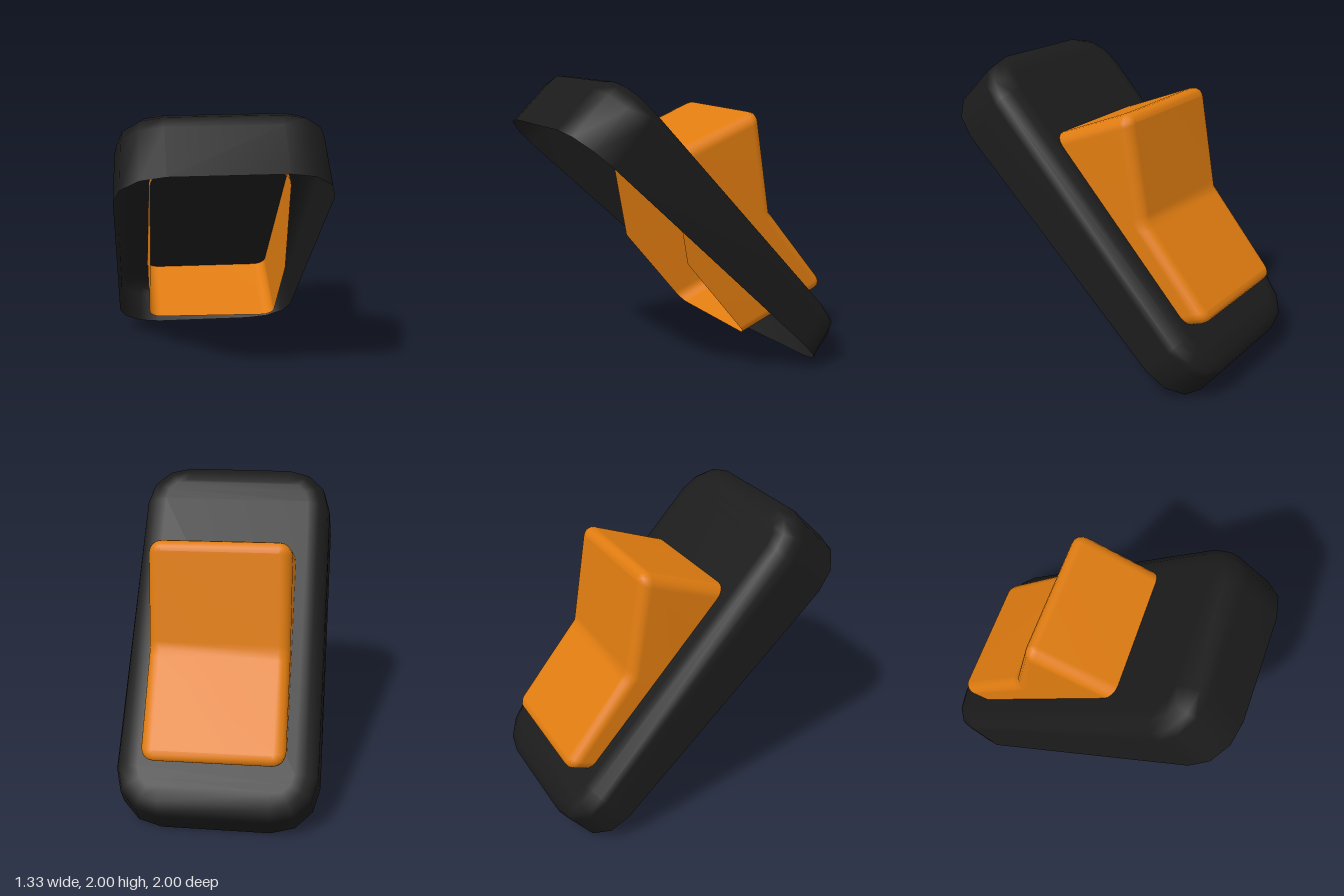
import * as THREE from 'three';

// Right half of a rounded rectangle, from +s down to -s, as [x, s] pairs.
// extra: additional s positions along the straight side.
function halfOutline(halfWidth, halfLength, radius, inset, segments, extra = []) {
  const r = radius - inset;
  const cx = halfWidth - radius, cs = halfLength - radius;
  const corner = [];
  for (let i = 0; i <= segments; i++) {
    const a = (Math.PI / 2) * (1 - i / segments);
    corner.push([cx + r * Math.cos(a), cs + r * Math.sin(a)]);
  }
  const side = extra.map((s) => [halfWidth - inset, s]);
  const lower = corner.map(([x, s]) => [x, -s]).reverse();
  return [...corner, ...side, ...lower];
}

// Open-bottomed shell: stacked mirrored outlines plus a cap on the last one.
// rings: [height, inset]; place maps (x, s, height) to a point in space.
function shell(rings, outline, place) {
  const positions = [], index = [];
  let n = 0;
  for (const [h, inset] of rings) {
    const half = outline(inset);
    const loop = [...half, ...half.map(([x, s]) => [-x, s]).reverse()];
    n = loop.length;
    for (const [x, s] of loop) positions.push(...place(x, s, h));
  }
  for (let k = 0; k < rings.length - 1; k++) {
    for (let i = 0; i < n; i++) {
      const j = (i + 1) % n;
      const a = k * n + i, b = k * n + j, c = b + n, d = a + n;
      index.push(a, b, c, a, c, d);
    }
  }
  const top = (rings.length - 1) * n;
  for (let i = 0; i < n / 2 - 1; i++) {
    const a = top + i, b = a + 1, c = top + n - 2 - i, d = c + 1;
    index.push(a, b, c, a, c, d);
  }
  const geometry = new THREE.BufferGeometry();
  geometry.setAttribute('position', new THREE.Float32BufferAttribute(positions, 3));
  geometry.setIndex(index);
  geometry.computeVertexNormals();
  return geometry;
}

function part(name, geometry, color) {
  const material = new THREE.MeshStandardMaterial({ color, side: THREE.DoubleSide });
  const mesh = new THREE.Mesh(geometry, material);
  mesh.name = name;
  return mesh;
}

// Leaning plate, thicker towards its upper end
function createPlate() {
  const rings = [[0, 0], [0.7, 0.015], [0.85, 0.03], [0.96, 0.09], [1, 0.165]];
  const outline = (inset) => halfOutline(0.663, 1.263, 0.31, inset, 3);
  const place = (x, s, h) => {
    const v = h * (0.39 + 0.071 * s);
    return [x, 0.865 + 0.681 * s + 0.732 * v, 0.075 + 0.732 * s - 0.681 * v];
  };
  return part('plate', shell(rings, outline, place), 0x1b1b1b);
}

// Bent rocker passing through the plate, open underneath
function createRocker() {
  const half = 0.72, bevel = 0.075, depth = 0.7;
  // lower end, knee and upper end as [z, y]
  const base = [[-0.29, 0.29], [0.17, 0.84], [0.3, 1.54]];
  const face = [[-0.955, 0.545], [-0.48, 1.11], [-0.362, 1.808]];

  const along = (line, s) => {
    const end = s < 0 ? line[0] : line[2];
    const t = Math.abs(s) / half;
    return [0, 1].map((k) => line[1][k] + (end[k] - line[1][k]) * t);
  };
  const rings = [[0, 0]];
  for (let i = 0; i <= 4; i++) {
    const a = (i / 4) * (Math.PI / 2);
    rings.push([1 - (bevel * (1 - Math.sin(a))) / depth, bevel * (1 - Math.cos(a))]);
  }
  const outline = (inset) => halfOutline(0.457, half, 0.085, inset, 4, [0.05, 0, -0.05]);
  const place = (x, s, h) => {
    const p = along(base, s), q = along(face, s);
    const z = p[0] + (q[0] - p[0]) * h;
    const y = p[1] + (q[1] - p[1]) * h;
    // sits very slightly askew in the plate
    return [x + 0.01 + 0.01 * y, y - 0.014 * x, z + 0.015 * x];
  };
  return part('rocker', shell(rings, outline, place), 0xe07c10);
}

export function createModel() {
  const group = new THREE.Group();
  group.name = 'rockerSwitch';
  group.add(createPlate(), createRocker());
  return group;
}
